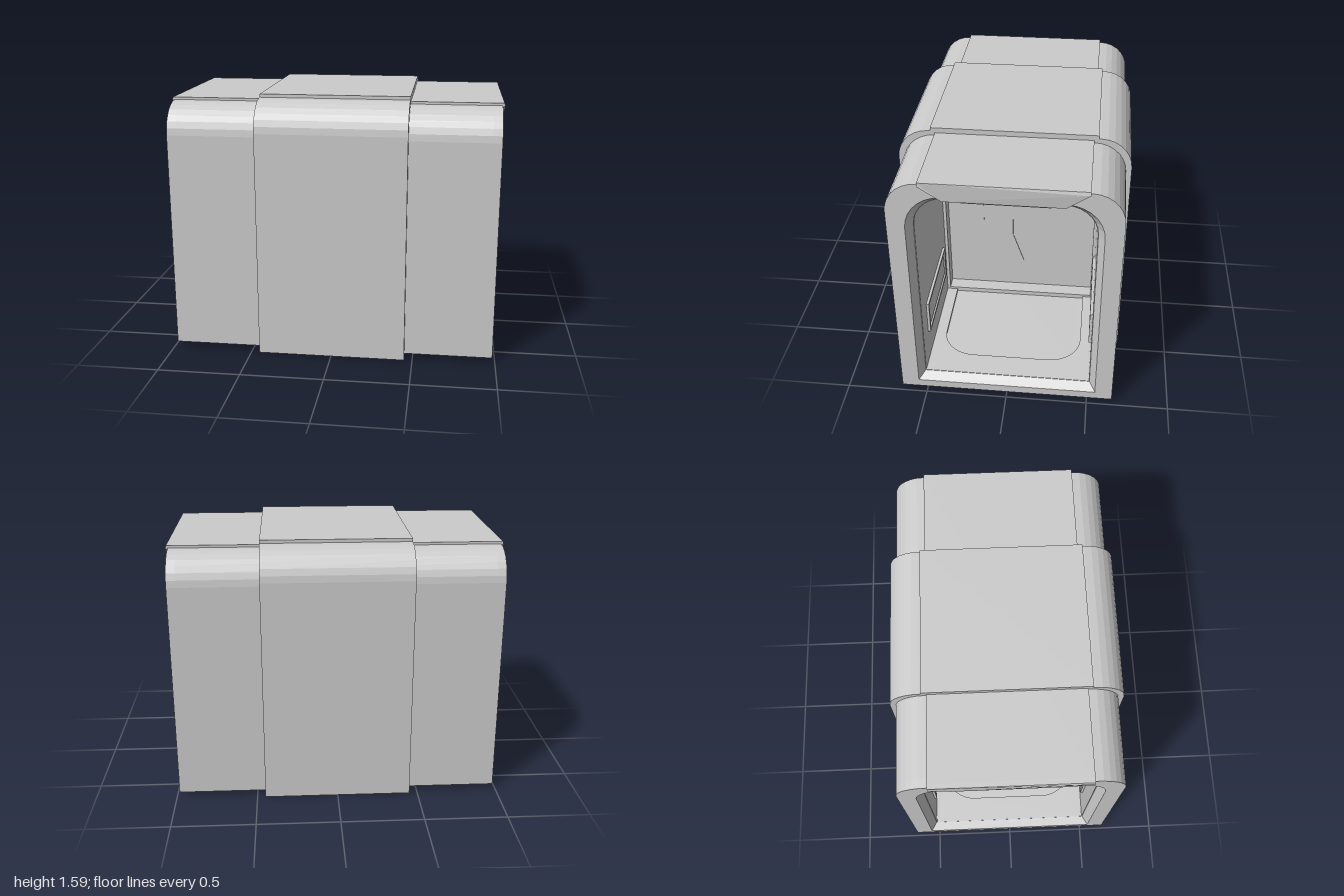
import * as THREE from 'three';

const grey = new THREE.MeshStandardMaterial({ color: 0xcccccc, side: THREE.DoubleSide });

// Points of an arch with rounded top corners, from its left foot over to its right foot
function arch(w, top, r, foot) {
  const pts = [new THREE.Vector2(-w, foot)];
  for (const side of [-1, 1]) {
    for (let i = 0; i <= 7; i++) {
      const a = (i / 7) * Math.PI / 2;
      const t = side < 0 ? Math.PI - a : Math.PI / 2 - a;
      pts.push(new THREE.Vector2(side * (w - r) + r * Math.cos(t), top - r + r * Math.sin(t)));
    }
  }
  pts.push(new THREE.Vector2(w, foot));
  return pts;
}

// Extrude a cross-section (first coordinate = -z, second = y) along x
function alongX(shape, x0, x1) {
  return new THREE.ExtrudeGeometry(shape, { depth: x1 - x0, bevelEnabled: false })
    .translate(0, 0, x0).rotateY(Math.PI / 2);
}

// Thin arch open at the bottom, between two arch outlines
const openArch = (outer, inner) => new THREE.Shape([...outer, ...inner.slice().reverse()]);

function closedRing(outer, inner) {
  const s = new THREE.Shape(outer);
  s.holes.push(new THREE.Path(inner));
  return s;
}

function roundedRect(path, w, h, r) {
  path.absarc(w - r, h - r, r, 0, Math.PI / 2);
  path.absarc(-w + r, h - r, r, Math.PI / 2, Math.PI);
  path.absarc(-w + r, -h + r, r, Math.PI, Math.PI * 1.5);
  path.absarc(w - r, -h + r, r, Math.PI * 1.5, Math.PI * 2);
  path.closePath();
  return path;
}

// Band joining two closed outlines of equal point count
function loft(a, xa, b, xb) {
  const v = [];
  for (let i = 0; i < a.length; i++) {
    const j = (i + 1) % a.length;
    const p = [xa, a[i].y, -a[i].x], q = [xa, a[j].y, -a[j].x];
    const s = [xb, b[i].y, -b[i].x], t = [xb, b[j].y, -b[j].x];
    v.push(...p, ...s, ...q, ...q, ...s, ...t);
  }
  const g = new THREE.BufferGeometry();
  g.setAttribute('position', new THREE.Float32BufferAttribute(v, 3));
  g.computeVertexNormals();
  return g;
}

export function createModel() {
  const model = new THREE.Group();
  model.name = 'corridorModule';
  const add = (name, geo, parent = model) => {
    const m = new THREE.Mesh(geo, grey);
    m.name = name;
    parent.add(m);
    return m;
  };
  // Box given by its lower and upper limits
  const box = (name, x0, x1, y0, y1, z0, z1, parent) =>
    add(name, new THREE.BoxGeometry(x1 - x0, y1 - y0, z1 - z0)
      .translate((x0 + x1) / 2, (y0 + y1) / 2, (z0 + z1) / 2), parent);

  const opening = arch(0.51, 1.42, 0.18, 0.12);
  const mouth = arch(0.55, 1.46, 0.21, 0.08);
  const body = arch(0.655, 1.54, 0.185, 0.03);

  // Outer skin, raised middle band and inner lining
  add('outerShell', alongX(openArch(body, arch(0.64, 1.525, 0.17, 0.03)), -0.93, 0.93));
  add('middleBand', alongX(openArch(arch(0.688, 1.567, 0.185, 0), arch(0.65, 1.535, 0.18, 0.03)), -0.45, 0.45));
  add('innerLining', alongX(openArch(arch(0.52, 1.43, 0.19, 0.1), arch(0.51, 1.42, 0.18, 0.1)), -0.93, 0.93));

  // Roof plates
  box('roofPlate', -0.99, 0.99, 1.53, 1.555, -0.463, 0.463);
  box('middleRoofPlate', -0.45, 0.45, 1.55, 1.587, -0.49, 0.49);

  // Floor with a sunken rounded panel
  const floor = new THREE.Shape([[-0.93, -0.51], [0.93, -0.51], [0.93, 0.51], [-0.93, 0.51]]
    .map(p => new THREE.Vector2(...p)));
  floor.holes.push(roundedRect(new THREE.Path(), 0.77, 0.44, 0.2));
  const flat = (shape, y0, y1) => new THREE.ExtrudeGeometry(shape,
    { depth: y1 - y0, bevelEnabled: false, curveSegments: 6 }).rotateX(-Math.PI / 2).translate(0, y0, 0);
  add('floor', flat(floor, 0.1, 0.12));
  add('floorPanel', flat(roundedRect(new THREE.Shape(), 0.77, 0.44, 0.2), 0.09, 0.105));

  // Ends, the second one being the first turned half way round
  for (const side of [1, -1]) {
    const end = new THREE.Group();
    end.name = side > 0 ? 'leftEnd' : 'rightEnd';
    end.rotation.y = side > 0 ? 0 : Math.PI;
    model.add(end);
    add('endFrame', alongX(closedRing(body, mouth), 0.93, 0.983), end);
    add('openingChamfer', loft(mouth, 0.983, opening, 0.925), end);

    // Canopy lip, its lower edge drawn inward
    const lip = new THREE.Shape([[-0.463, 1.555], [-0.463, 1.535], [-0.335, 1.44],
      [0.335, 1.44], [0.463, 1.535], [0.463, 1.555]].map(p => new THREE.Vector2(...p)));
    const lipGeo = alongX(lip, 0.97, 1);
    const pos = lipGeo.attributes.position;
    for (let i = 0; i < pos.count; i++) {
      if (pos.getY(i) < 1.5) pos.setX(i, pos.getX(i) - 0.012);
      else if (pos.getY(i) > 1.55) pos.setX(i, pos.getX(i) - 0.006);
    }
    lipGeo.computeVertexNormals();
    add('canopyLip', lipGeo, end);

    // Ceiling lamp
    box('lampBase', 0.78, 0.92, 1.405, 1.425, -0.31, 0.31, end);
    box('ceilingLamp', 0.81, 0.89, 1.37, 1.41, -0.25, 0.25, end);

    // Wall panels on both sides
    for (const s of [-1, 1]) {
      const at = (name, x0, x1, y0, y1, d) =>
        box(name, x0, x1, y0, y1, s * 0.508 - d, s * 0.508 + d, end);
      at('panelRimTop', 0.22, 0.8, 0.525, 0.545, 0.014);
      at('panelRimBottom', 0.22, 0.8, 0.32, 0.34, 0.014);
      at('panelRimInner', 0.22, 0.24, 0.34, 0.525, 0.014);
      at('panelRimOuter', 0.78, 0.8, 0.34, 0.525, 0.014);
      at('wallPanel', 0.255, 0.765, 0.355, 0.51, 0.008);
    }
  }

  // Door frame with its sill and the feet below the floor
  add('doorFrame', alongX(closedRing(arch(0.515, 1.425, 0.185, 0.1), arch(0.49, 1.4, 0.165, 0.135)), -0.13, 0.13));
  for (const s of [-1, 1])
    box('doorFrameFoot', -0.13, 0.13, 0.075, 0.13, s * 0.49 - 0.07, s * 0.49 + 0.07);

  // Door with a kinked centre strip and window panes
  add('door', alongX(new THREE.Shape(arch(0.495, 1.405, 0.17, 0.13)), -0.04, 0.04));
  const seam = [[0.025, 0.14], [0.025, 0.34], [0.1, 0.56], [0.1, 1.0], [0.025, 1.22], [0.025, 1.4]];
  const strip = new THREE.Shape([
    ...seam.map(([z, y]) => new THREE.Vector2(-z, y)),
    ...seam.slice().reverse().map(([z, y]) => new THREE.Vector2(-z + 0.047, y))]);
  add('doorSeamStrip', alongX(strip, -0.046, 0.046));
  box('narrowWindow', -0.046, 0.046, 0.67, 1.21, 0.25, 0.45);
  box('wideWindow', -0.046, 0.046, 0.91, 1.22, -0.425, -0.09);

  return model;
}
